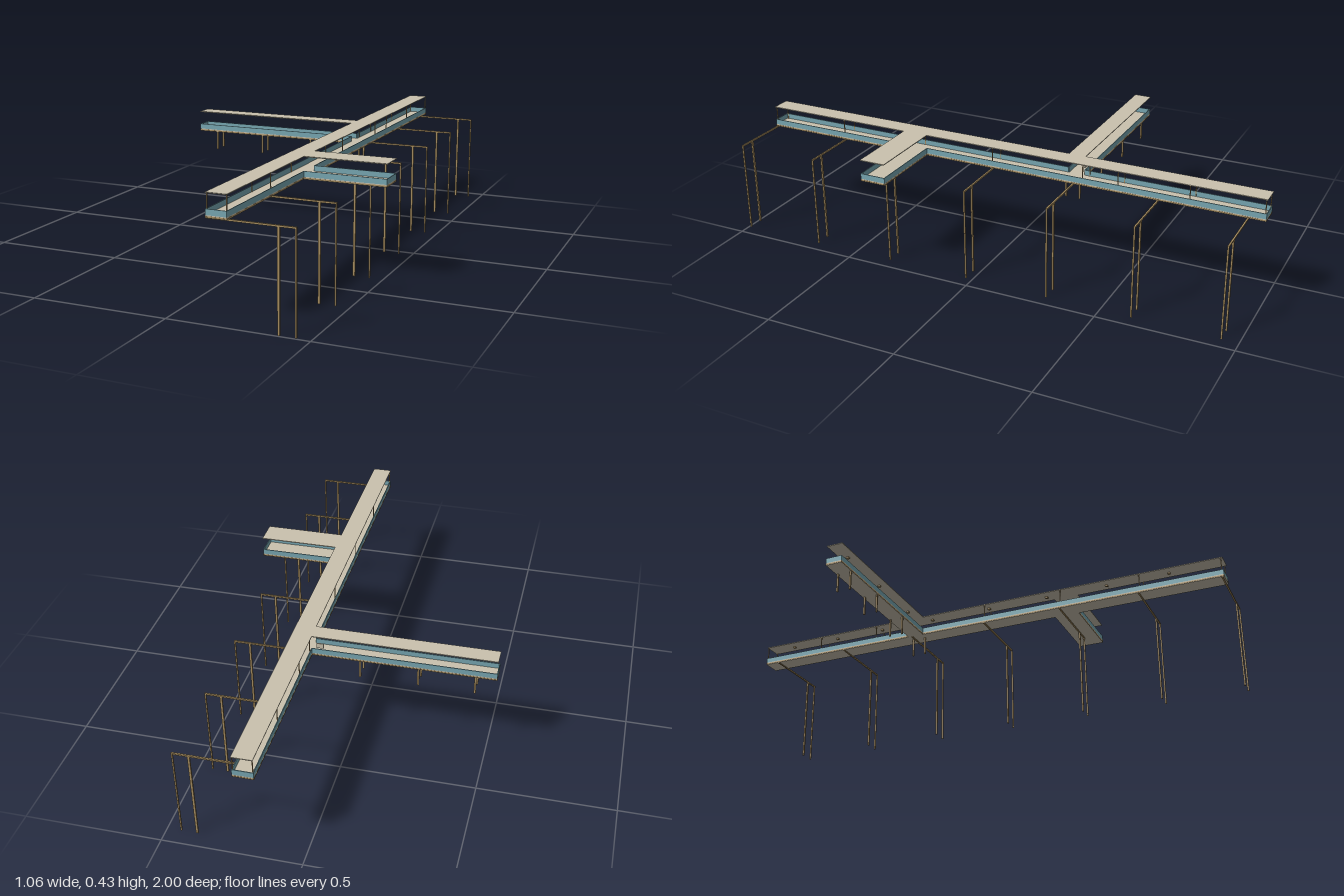
import * as THREE from 'three';

const material = (name, color) => {
  const m = new THREE.MeshStandardMaterial({ color });
  m.name = name;
  return m;
};

export function createModel() {
  const concrete = material('pale warm concrete', 0xcac2ae);
  const teal = material('teal panel', 0x78a8b3);
  const steel = material('tan steel', 0xa88e60);

  const root = new THREE.Group();
  root.name = 'elevatedWalkway';

  // Box given by its minimum and maximum corners
  const box = (parent, name, mat, x0, x1, y0, y1, z0, z1) => {
    const mesh = new THREE.Mesh(new THREE.BoxGeometry(x1 - x0, y1 - y0, z1 - z0), mat);
    mesh.position.set((x0 + x1) / 2, (y0 + y1) / 2, (z0 + z1) / 2);
    mesh.name = name;
    parent.add(mesh);
  };
  const section = (name) => {
    const g = new THREE.Group();
    g.name = name;
    root.add(g);
    return g;
  };

  const L = 0.149, R = 0.223;            // sides of the main deck
  const END = 0.528;                     // reach of both branches
  const W0 = -0.311, W1 = -0.246;        // left-hand branch in z
  const E0 = 0.306, E1 = 0.405;          // right-hand branch in z
  const F0 = 0.347, F1 = 0.356, P1 = 0.376, C0 = 0.426, C1 = 0.429;
  const T = 0.003;                       // panel thickness

  const slab = (g, x0, x1, z0, z1) => {
    box(g, 'floor', concrete, x0, x1, F0, F1, z0, z1);
    box(g, 'roof', concrete, x0, x1, C0, C1, z0, z1);
  };
  // Side panel with a slim steel strip along the floor edge beneath it
  const panel = (g, x0, x1, z0, z1) => {
    box(g, 'sidePanel', teal, x0, x1, F1, P1, z0, z1);
    box(g, 'edgeStrip', steel, x0 - 0.0005, x1 + 0.0005, F0 + 0.001, F0 + 0.006, z0 - 0.0005, z1 + 0.0005);
  };
  const lamp = (g, x, z) => box(g, 'lamp', steel, x - 0.005, x + 0.005, 0.42, C0, z - 0.005, z + 0.005);

  // Main walkway, with openings in its panels where the branches join
  const main = section('mainWalkway');
  slab(main, L, R, -1, 1);
  panel(main, L, L + T, -1, W0);
  panel(main, L, L + T, W1, 1);
  panel(main, R - T, R, -1, E0);
  panel(main, R - T, R, E1, 1);
  for (const z of [-1, 1 - T]) panel(main, L + T, R - T, z, z + T);
  for (const z of [-0.995, -0.73, -0.465, -0.33, 0.03, 0.353, 0.675, 0.993]) {
    for (const x of [L + 0.003, R - 0.003]) {
      if (x > 0.2 && z > E0 && z < E1) continue;
      box(main, 'roofPost', steel, x - 0.0015, x + 0.0015, F1, C0, z - 0.0015, z + 0.0015);
    }
  }
  for (const z of [-0.885, -0.67, -0.455, -0.22, 0.035, 0.285, 0.535, 0.785]) lamp(main, 0.187, z);

  // Long narrow branch
  const west = section('longBranch');
  slab(west, -END, L, W0, W1);
  panel(west, -END, L, W0, W0 + T);
  panel(west, -END, L, W1 - T, W1);
  panel(west, -END, -END + T, W0 + T, W1 - T);
  for (const x of [-0.425, -0.173, 0.078]) lamp(west, x, -0.28);
  box(west, 'noticeBoard', concrete, 0.107, 0.134, P1, 0.396, -0.304, -0.3);

  // Short wide branch
  const east = section('shortBranch');
  slab(east, R, END, E0, E1);
  panel(east, R, END, E0, E0 + T);
  panel(east, R, END, E1 - T, E1);
  panel(east, END - T, END, E0 + T, E1 - T);
  lamp(east, 0.37, 0.355);

  // Short legs below the long branch
  for (const x of [-0.45, -0.243, -0.028, 0.182]) {
    for (const z of [-0.304, -0.251]) {
      box(west, 'shortLeg', steel, x - 0.0035, x + 0.0035, 0.274, F0, z - 0.003, z + 0.003);
    }
  }

  // Cantilever frames: one beam and two tall legs each
  for (let i = 0; i < 7; i++) {
    const z = -0.938 + i * 0.3217;
    const frame = section('supportFrame');
    box(frame, 'beam', steel, L, 0.452, 0.344, 0.35, z - 0.003, z + 0.003);
    box(frame, 'innerLeg', steel, 0.388, 0.396, 0, 0.344, z - 0.003, z + 0.003);
    box(frame, 'outerLeg', steel, 0.447, 0.452, 0, 0.344, z - 0.003, z + 0.003);
  }
  return root;
}
